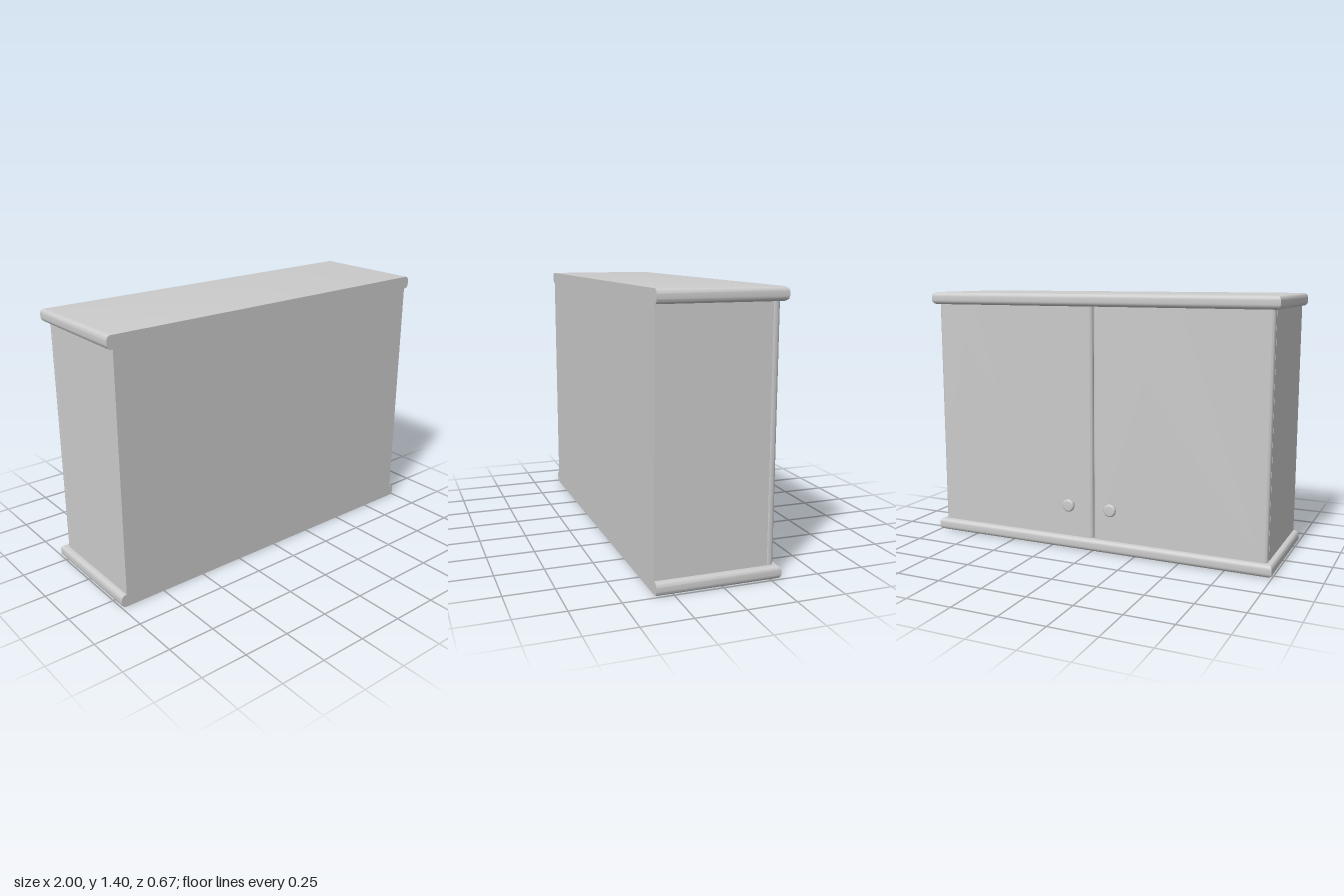
import * as THREE from 'three';
import { toCreasedNormals } from 'three/addons/utils/BufferGeometryUtils.js';

const BACK = 0.337, FRONT = -0.301, HEIGHT = 1.4, BOARD = 0.068;
const grey = new THREE.MeshStandardMaterial({ color: 0xcccccc });

function add(parent, name, geometry) {
  const mesh = new THREE.Mesh(geometry, grey);
  mesh.name = name;
  parent.add(mesh);
  return mesh;
}

// Board with a rounded edge on three sides, mitred corners and a square back
function boardGeometry() {
  const r = 0.024, steps = 6, rings = [];
  for (const top of [0, 1]) {
    for (let i = 0; i <= steps; i++) {
      const a = (top ? i / steps : i / steps - 1) * Math.PI / 2;
      const inset = r * (1 - Math.cos(a));
      const y = (top ? BOARD - r : r) + r * Math.sin(a);
      const x = 1 - inset, z = FRONT + inset;
      rings.push([[-x, y, BACK], [x, y, BACK], [x, y, z], [-x, y, z]]);
    }
  }
  const pos = [];
  const quad = (a, b, c, d) => pos.push(...a, ...b, ...c, ...a, ...c, ...d);
  for (let i = 0; i < rings.length - 1; i++) {
    for (let k = 0; k < 4; k++) {
      const n = (k + 1) % 4;
      quad(rings[i][k], rings[i][n], rings[i + 1][n], rings[i + 1][k]);
    }
  }
  const [b0, b1, b2, b3] = rings[0];
  quad(b3, b2, b1, b0);
  quad(...rings[rings.length - 1]);
  const g = new THREE.BufferGeometry();
  g.setAttribute('position', new THREE.Float32BufferAttribute(pos, 3));
  return toCreasedNormals(g, 0.6);
}

// Door panel: plan outline with rounded upright edges, extruded upwards
function doorGeometry(width, depth, height) {
  const r = 0.02, s = 0.005, w = width / 2;
  const shape = new THREE.Shape();
  shape.moveTo(-w + s, 0);
  shape.lineTo(w - s, 0);
  shape.absarc(w - s, s, s, -Math.PI / 2, 0, false);
  shape.lineTo(w, depth - r);
  shape.absarc(w - r, depth - r, r, 0, Math.PI / 2, false);
  shape.lineTo(-w + r, depth);
  shape.absarc(-w + r, depth - r, r, Math.PI / 2, Math.PI, false);
  shape.lineTo(-w, s);
  shape.absarc(-w + s, s, s, Math.PI, Math.PI * 1.5, false);
  const g = new THREE.ExtrudeGeometry(shape, { depth: height, bevelEnabled: false, curveSegments: 6 });
  return toCreasedNormals(g.rotateX(-Math.PI / 2), 0.6);
}

// Knob: slim stem with a rounded disc, turned to point along -z
function knobGeometry() {
  const profile = [new THREE.Vector2(0.012, 0), new THREE.Vector2(0.012, 0.038)];
  for (let i = 1; i <= 12; i++) {
    const a = -Math.PI / 2 + (i / 12) * Math.PI;
    profile.push(new THREE.Vector2(0.022 * (i === 12 ? 0 : 1) + 0.013 * Math.cos(a), 0.05 + 0.0125 * Math.sin(a)));
  }
  return new THREE.LatheGeometry(profile, 24).rotateX(-Math.PI / 2);
}

export function createModel() {
  const model = new THREE.Group();
  model.name = 'wallCabinet';
  const inner = HEIGHT - 2 * BOARD;

  // Carcass, flush with the boards at the back
  const bodyFront = -0.237;
  add(model, 'carcass', new THREE.BoxGeometry(1.94, inner, BACK - bodyFront))
    .position.set(0, HEIGHT / 2, (BACK + bodyFront) / 2);

  // Bottom and top boards
  const board = boardGeometry();
  add(model, 'bottomBoard', board);
  add(model, 'topBoard', board).position.y = HEIGHT - BOARD;

  // Pair of doors, each with a knob near the meeting edge
  const door = doorGeometry(0.968, 0.037, inner);
  const knob = knobGeometry();
  for (const [side, name] of [[1, 'left'], [-1, 'right']]) {
    add(model, name + 'Door', door).position.set(side * 0.486, BOARD, bodyFront);
    add(model, name + 'Knob', knob).position.set(side * 0.124, 0.254, -0.273);
  }
  // The plan outline is drawn towards +y, which the extrusion turns into -z
  return model;
}
